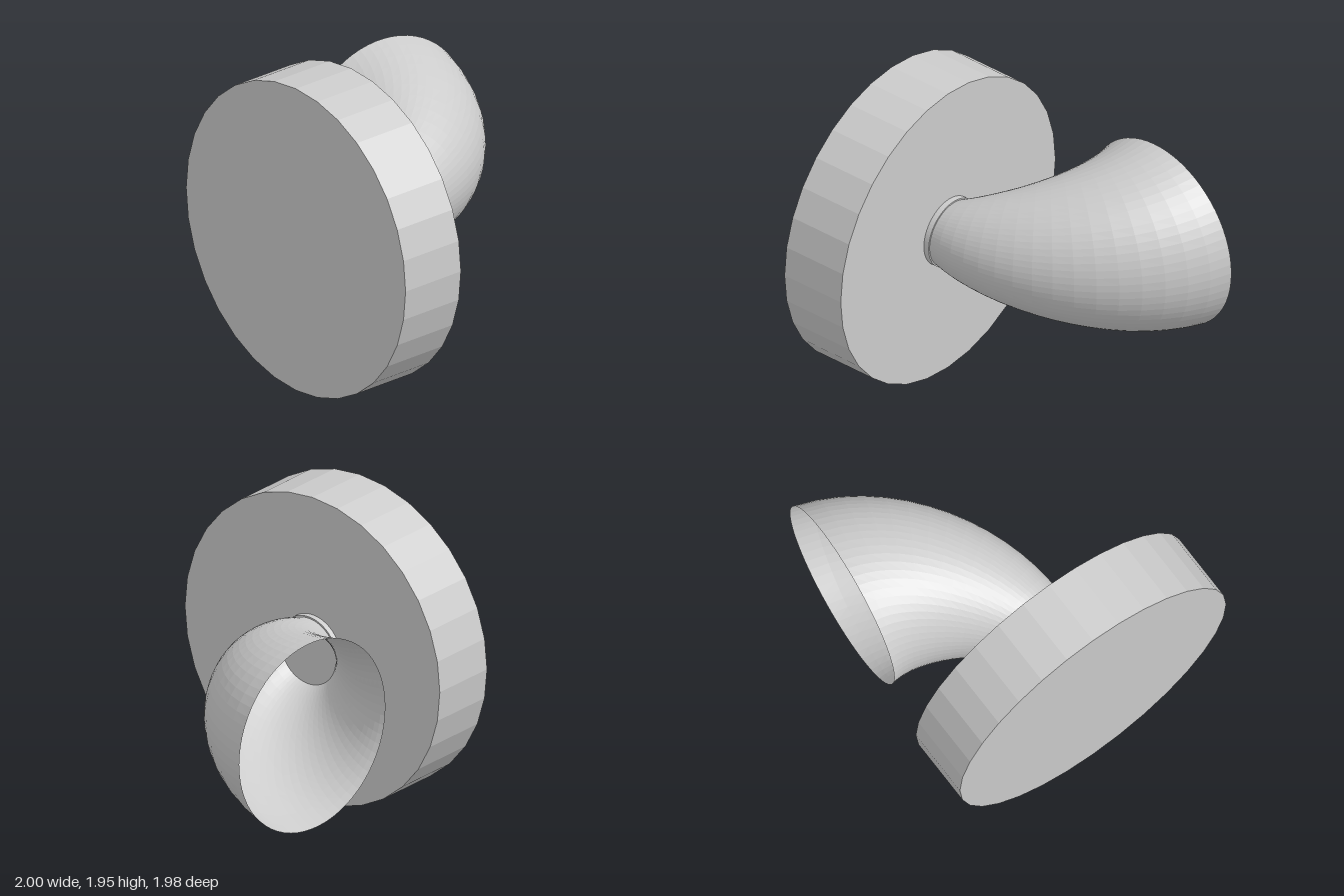
import * as THREE from 'three';

const CENTER_Y = 0.973;
const TILT = 0.103; // turn of the base plate about the vertical axis

// Cylinder lying along its parent's x axis, from x0 to x1
function disc(name, radius, x0, x1, sides, material) {
  const mesh = new THREE.Mesh(new THREE.CylinderGeometry(radius, radius, x1 - x0, sides), material);
  mesh.rotation.z = -Math.PI / 2;
  mesh.position.x = (x0 + x1) / 2;
  mesh.name = name;
  return mesh;
}

// Open flaring tube: circles of growing radius, turning as they follow a curve
function hornGeometry(rings, sides) {
  const path = new THREE.CubicBezierCurve3(
    new THREE.Vector3(-0.435, 0, -0.03),
    new THREE.Vector3(-0.13, 0, -0.1),
    new THREE.Vector3(0.355, 0, -0.463),
    new THREE.Vector3(0.4, 0, -0.92)
  );
  const positions = [];
  const index = [];
  for (let i = 0; i <= rings; i++) {
    const u = i / rings;
    const c = path.getPoint(u);
    const turn = THREE.MathUtils.lerp(TILT, Math.PI / 2, u);
    const r = 0.21 + 0.388 * u + 0.1 * u * u * (1 - u);
    for (let j = 0; j < sides; j++) {
      const a = (j / sides) * Math.PI * 2;
      const out = r * Math.cos(a);
      positions.push(c.x + out * Math.sin(turn), CENTER_Y + r * Math.sin(a), c.z + out * Math.cos(turn));
      if (i < rings) {
        const k = (j + 1) % sides;
        const p = i * sides + j, q = i * sides + k;
        index.push(p, p + sides, q, q, p + sides, q + sides);
      }
    }
  }
  const geometry = new THREE.BufferGeometry();
  geometry.setAttribute('position', new THREE.Float32BufferAttribute(positions, 3));
  geometry.setIndex(index);
  geometry.computeVertexNormals();
  return geometry;
}

export function createModel() {
  const model = new THREE.Group();
  model.name = 'hornOnPlate';
  const material = new THREE.MeshStandardMaterial({ color: 0xcccccc, flatShading: true });
  const openMaterial = new THREE.MeshStandardMaterial({
    color: 0xcccccc, flatShading: true, side: THREE.DoubleSide
  });

  // Thick round plate with a short collar, both tilted together
  const base = new THREE.Group();
  base.name = 'base';
  base.position.set(-0.685, CENTER_Y, -0.005);
  base.rotation.y = TILT;
  base.add(disc('plate', 0.973, -0.216, 0.216, 32, material));
  base.add(disc('collar', 0.22, 0.2, 0.253, 64, material));
  model.add(base);

  // Curved horn, open at the wide end
  const horn = new THREE.Mesh(hornGeometry(16, 64), openMaterial);
  horn.name = 'horn';
  model.add(horn);

  return model;
}
